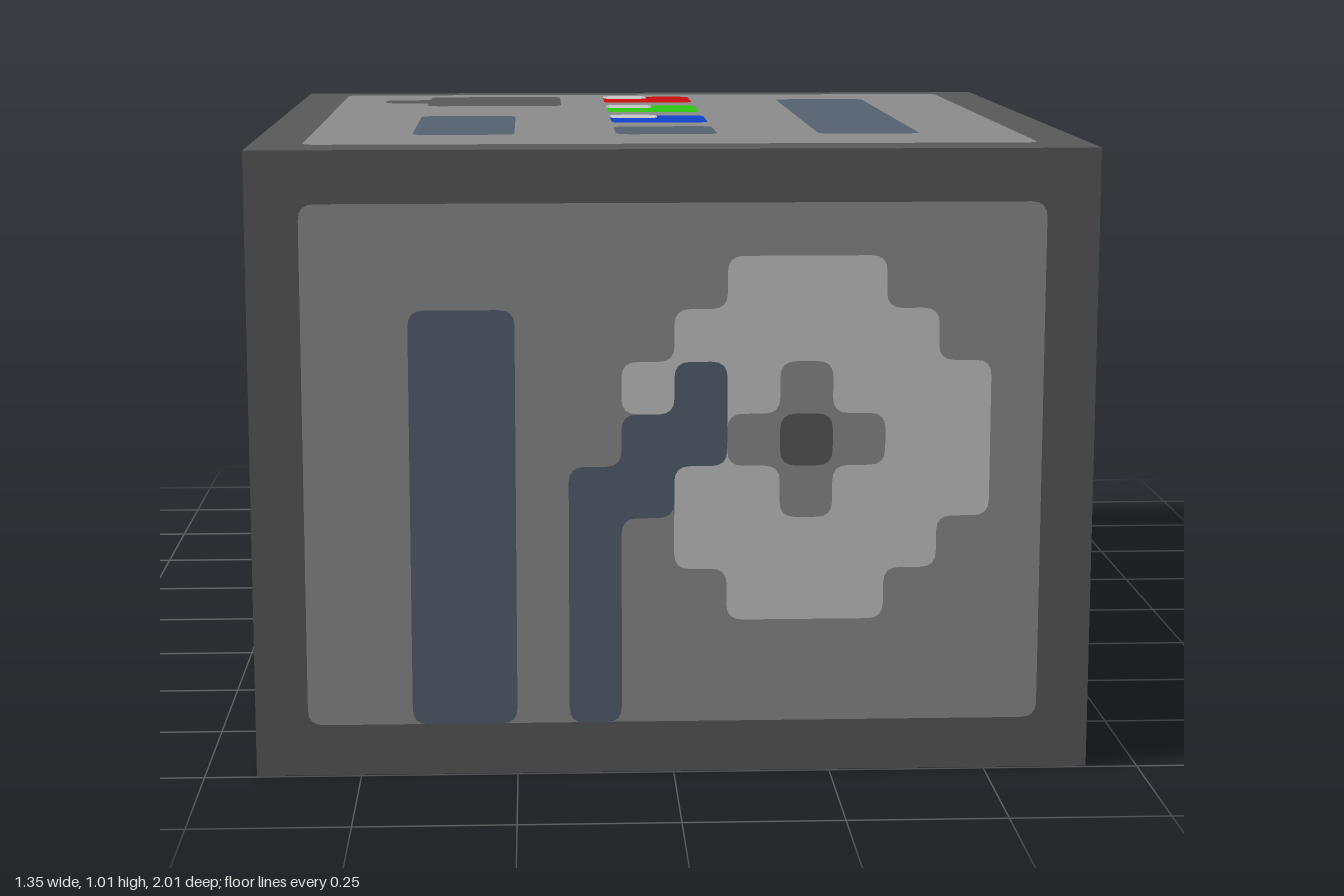
import * as THREE from 'three';

const material = (name, color) => {
  const m = new THREE.MeshStandardMaterial({ color });
  m.name = name;
  return m;
};

const G = 1 / 12;        // size of one grid square of the painted panels
const LAYER = 0.0015;    // height of each paint layer above the face

// Flat painted plate from an outline, with slightly rounded corners
function plate(name, points, mat, layer, r = 0.025) {
  const pts = points.map(([x, y]) => new THREE.Vector2(x, y));
  const shape = new THREE.Shape();
  pts.forEach((p, i) => {
    const prev = pts[(i + pts.length - 1) % pts.length];
    const next = pts[(i + 1) % pts.length];
    const toward = (q) => p.clone().add(q.clone().sub(p).setLength(r));
    const a = r ? toward(prev) : p;
    const b = r ? toward(next) : p;
    if (i === 0) shape.moveTo(a.x, a.y);
    else shape.lineTo(a.x, a.y);
    if (r) shape.quadraticCurveTo(p.x, p.y, b.x, b.y);
  });
  shape.closePath();
  const mesh = new THREE.Mesh(new THREE.ShapeGeometry(shape, 4), mat);
  mesh.name = name;
  mesh.position.z = layer * LAYER;
  return mesh;
}

const rect = (x0, y0, x1, y1) => [[x0, y0], [x1, y0], [x1, y1], [x0, y1]];

// Group lying on a face: local x to the right, y up, z outward
function face(name, position, rx, ry) {
  const g = new THREE.Group();
  g.name = name;
  g.position.set(...position);
  g.rotation.set(rx, ry, 0, 'YXZ');
  return g;
}

export function createModel() {
  const root = new THREE.Group();
  root.name = 'machine';

  const rim = material('dark grey', 0x595959);
  const panel = material('mid grey', 0x8c8c8c);
  const slate = material('slate', 0x556270);
  const pale = material('pale grey', 0xc8c8c8);
  const blue = material('blue', 0x0e5fa5);
  const navy = material('navy', 0x0c2b4d);
  const red = material('red', 0xcc0c0c);
  const green = material('green', 0x2cc80c);
  const royal = material('royal blue', 0x0c44cc);

  // Main block
  const W = 16 * G;
  const block = new THREE.Mesh(new THREE.BoxGeometry(W, 1, W), rim);
  block.name = 'block';
  block.position.set(0, 0.5, 1 / 3);
  root.add(block);

  // Grid plates, counted from the lower left corner of a face with the given rows
  const painter = (group, rows) => (name, cells, mat, layer) =>
    group.add(plate(name, cells.map(([c, r]) => [(c - 8) * G, (r - rows / 2) * G]), mat, layer));

  // Front and both sides: wheel, bent arm and upright bar
  const wheel = [[9, 3], [12, 3], [12, 4], [13, 4], [13, 5], [14, 5], [14, 8], [13, 8], [13, 9], [12, 9],
    [12, 10], [9, 10], [9, 9], [8, 9], [8, 8], [7, 8], [7, 7], [8, 7], [8, 4], [9, 4]];
  const arm = [[6, 1], [7, 1], [7, 5], [8, 5], [8, 6], [9, 6], [9, 8], [8, 8], [8, 7], [7, 7], [7, 6], [6, 6]];
  const cross = [[10, 5], [11, 5], [11, 6], [12, 6], [12, 7], [11, 7], [11, 8], [10, 8], [10, 7], [9, 7], [9, 6], [10, 6]];
  const walls = [
    ['frontFace', [0, 0.5, 1], 0],
    ['leftFace', [W / 2, 0.5, 1 / 3], Math.PI / 2],
    ['rightFace', [-W / 2, 0.5, 1 / 3], -Math.PI / 2],
  ];
  for (const [name, position, turn] of walls) {
    const g = face(name, position, 0, turn);
    const paint = painter(g, 12);
    paint('panel', rect(1, 1, 15, 11), panel, 1);
    paint('bar', rect(3, 1, 5, 9), slate, 2);
    paint('wheel', wheel, pale, 2);
    paint('arm', arm, slate, 3);
    paint('spokes', cross, panel, 3);
    paint('hub', rect(10, 6, 11, 7), rim, 4);
    root.add(g);
  }

  // Top: control buttons, slots and a dark patch
  const top = face('topFace', [0, 1, 1 / 3], -Math.PI / 2, 0);
  const paintTop = painter(top, 16);
  paintTop('panel', rect(1, 1, 15, 15), panel, 1);
  paintTop('longSlot', rect(11, 3, 13, 13), slate, 2);
  paintTop('shortSlot', rect(3, 3, 5, 8), slate, 2);
  paintTop('smallSlot', rect(7, 3, 9, 5), slate, 2);
  paintTop('patch', [[3, 11], [6, 11], [6, 14], [3, 14], [3, 13], [2, 13], [2, 12], [3, 12]], rim, 2);
  [['red', red, 12], ['green', green, 9], ['blue', royal, 6]].forEach(([name, mat, row]) => {
    paintTop(name + 'Button', rect(7, row, 9, row + 2), mat, 2);
    paintTop(name + 'Glint', rect(7, row + 1, 8, row + 2), pale, 3);
  });
  root.add(top);

  // Underside
  const under = face('underside', [0, 0, 1 / 3], Math.PI / 2, 0);
  painter(under, 16)('panel', rect(1, 1, 15, 15), panel, 1);
  root.add(under);

  // Wedge at the back: side profile (x is distance backward) extruded across
  const half = 0.633, y0 = 0.055, y1 = 0.95, z0 = 1 / 3, zTop = 2 / 3, zLow = 1;
  const profile = new THREE.Shape(
    [[z0, y0], [zLow, y0], [zTop, y1], [z0, y1]].map(([x, y]) => new THREE.Vector2(x, y)));
  const wedgeGeo = new THREE.ExtrudeGeometry(profile, { depth: 2 * half, bevelEnabled: false });
  wedgeGeo.rotateY(Math.PI / 2).translate(-half, 0, 0);
  const wedge = new THREE.Mesh(wedgeGeo, navy);
  wedge.name = 'wedge';
  root.add(wedge);

  // Wedge side panels, mirrored
  const slantZ = (y) => zLow + (zTop - zLow) * (y - y0) / (y1 - y0);
  for (const s of [1, -1]) {
    const g = face(s > 0 ? 'wedgeLeft' : 'wedgeRight', [s * half, 0, 0], 0, s * Math.PI / 2);
    const pts = [[0.415, 0.13], [slantZ(0.13), 0.13], [slantZ(0.877), 0.877], [0.415, 0.877]];
    g.add(plate('sidePanel', pts.map(([x, y]) => [s * x, y]), blue, 1, 0.004));
    root.add(g);
  }

  // Wedge top, bottom and sloping back panels
  const lid = face('wedgeTop', [0, y1, -0.5], -Math.PI / 2, 0);
  lid.add(plate('topPanel', rect(-0.555, -0.085, 0.555, 0.085), blue, 1));
  const base = face('wedgeBottom', [0, y0, -2 / 3], Math.PI / 2, 0);
  base.add(plate('bottomPanel', rect(-0.555, -0.25, 0.555, 0.25), blue, 1));
  const tilt = Math.atan2(zLow - zTop, y1 - y0);
  const slope = face('wedgeBack', [0, (y0 + y1) / 2, -(zTop + zLow) / 2], -tilt, Math.PI);
  const h = Math.hypot(zLow - zTop, y1 - y0) * 0.415;
  slope.add(plate('slopePanel', rect(-half, -h, half, h), blue, 1, 0));
  root.add(lid, base, slope);

  return root;
}
